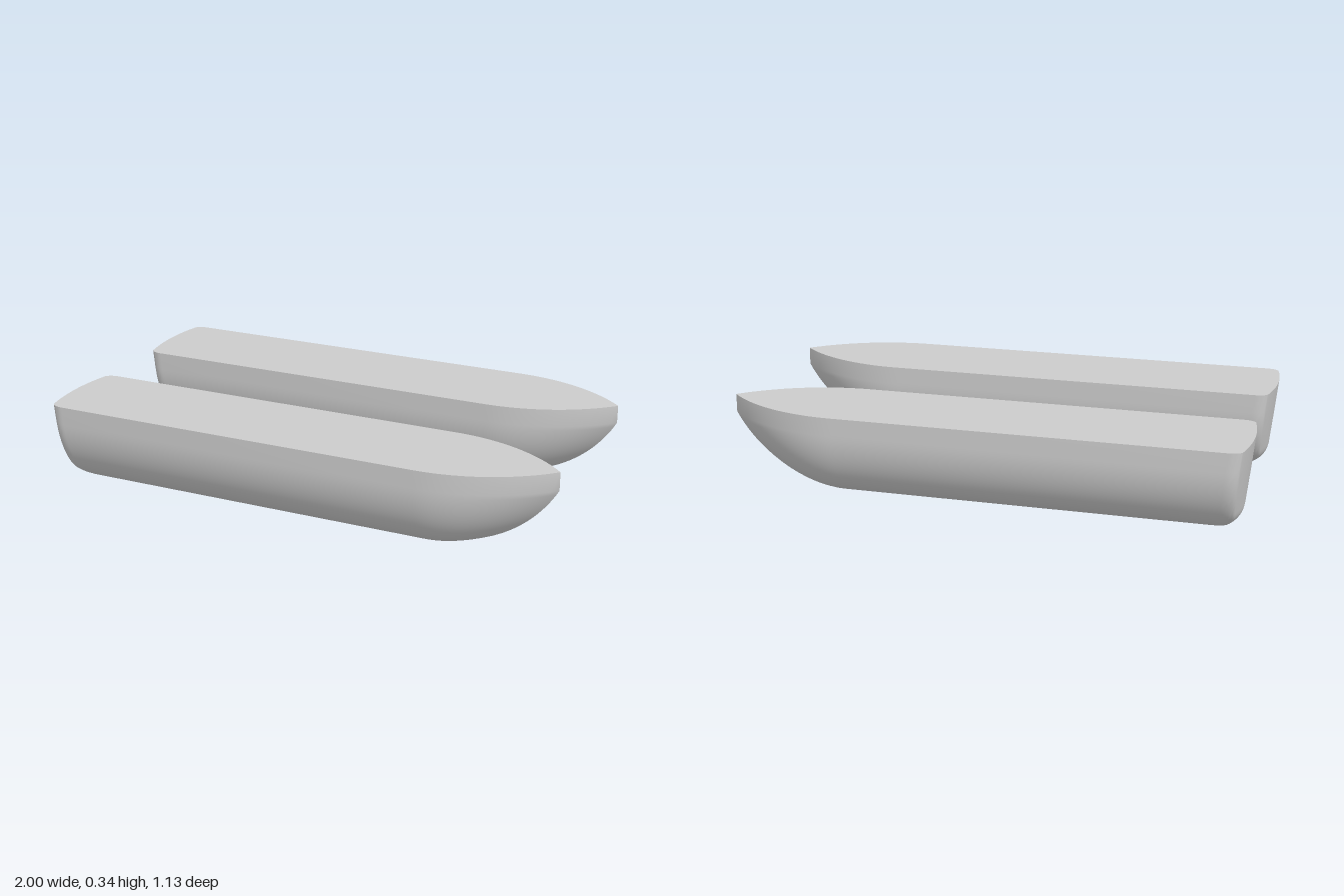
import * as THREE from 'three';
import { toCreasedNormals } from 'three/addons/utils/BufferGeometryUtils.js';

const HALF = 0.2, CHINE = 0.265, TOP = 0.335, BOW_START = 0.53;

// Stem: arc rising from the keel to the tip, vertical above the chine
function stemX(y) {
  const r = 0.5146, h = r - Math.min(y, CHINE);
  return 0.55 + Math.sqrt(r * r - h * h);
}

// Stern: slightly raked transom with a rounded foot
function sternX(y) {
  const k = Math.max(0, (0.08 - y) / 0.08);
  return -1 + 0.035 * (1 - y / TOP) + 0.095 * (1 - Math.sqrt(1 - k * k));
}

// Half waterline at height y, from transom centre to stem: list of [x, half width]
function waterline(y, w) {
  const pts = [], xs = sternX(y), len = stemX(y) - BOW_START;
  for (let i = 0; i < 6; i++) {            // bowed transom
    const u = 0.85 * i / 6;
    pts.push([xs + 0.018 * (u / 0.85) ** 2, w * u]);
  }
  for (let i = 0; i <= 8; i++) {           // rounded corner
    const a = i / 8 * Math.PI / 2;
    pts.push([xs + 0.018 + 0.05 * (1 - Math.cos(a)), w * (0.85 + 0.15 * Math.sin(a))]);
  }
  for (let i = 0; i <= 20; i++) {          // arc to the stem
    const t = i / 20;
    const drop = 0.65225 - Math.sqrt(0.65225 ** 2 - (0.47 * t) ** 2);
    pts.push([BOW_START + len * t, i === 20 ? 0 : w * (1 - drop / 0.2)]);
  }
  return pts;
}

function hullGeometry() {
  const rows = [], n = 24;
  for (let i = 0; i <= n; i++) {           // elliptical bottom
    const a = i / n * Math.PI / 2, y = CHINE * (1 - Math.cos(a));
    rows.push({ y, pts: waterline(y, HALF * Math.sin(a)) });
  }
  rows.push({ y: TOP, pts: waterline(TOP, HALF) }); // upright side strake

  const pos = [], cols = rows[0].pts.length;
  const corner = (r, c, s) => [rows[r].pts[c][0], rows[r].y, s * rows[r].pts[c][1]];
  const quad = (a, b, c, d) => pos.push(...a, ...b, ...c, ...a, ...c, ...d);

  for (let c = 0; c < cols - 1; c++) {
    for (let r = 0; r < rows.length - 1; r++) {
      quad(corner(r, c, 1), corner(r, c + 1, 1), corner(r + 1, c + 1, 1), corner(r + 1, c, 1));
      quad(corner(r, c + 1, -1), corner(r, c, -1), corner(r + 1, c, -1), corner(r + 1, c + 1, -1));
    }
    const t = rows.length - 1;             // flat deck
    quad(corner(t, c, 1), corner(t, c + 1, 1), corner(t, c + 1, -1), corner(t, c, -1));
  }
  const g = new THREE.BufferGeometry();
  g.setAttribute('position', new THREE.Float32BufferAttribute(pos, 3));
  return toCreasedNormals(g, 0.4);
}

export function createModel() {
  const group = new THREE.Group();
  group.name = 'twinHulls';
  const material = new THREE.MeshStandardMaterial({ color: 0xcccccc });
  const geometry = hullGeometry();
  for (const [name, z] of [['frontHull', 0.363], ['backHull', -0.363]]) {
    const hull = new THREE.Mesh(geometry, material);
    hull.name = name;
    hull.position.z = z;
    group.add(hull);
  }
  return group;
}
